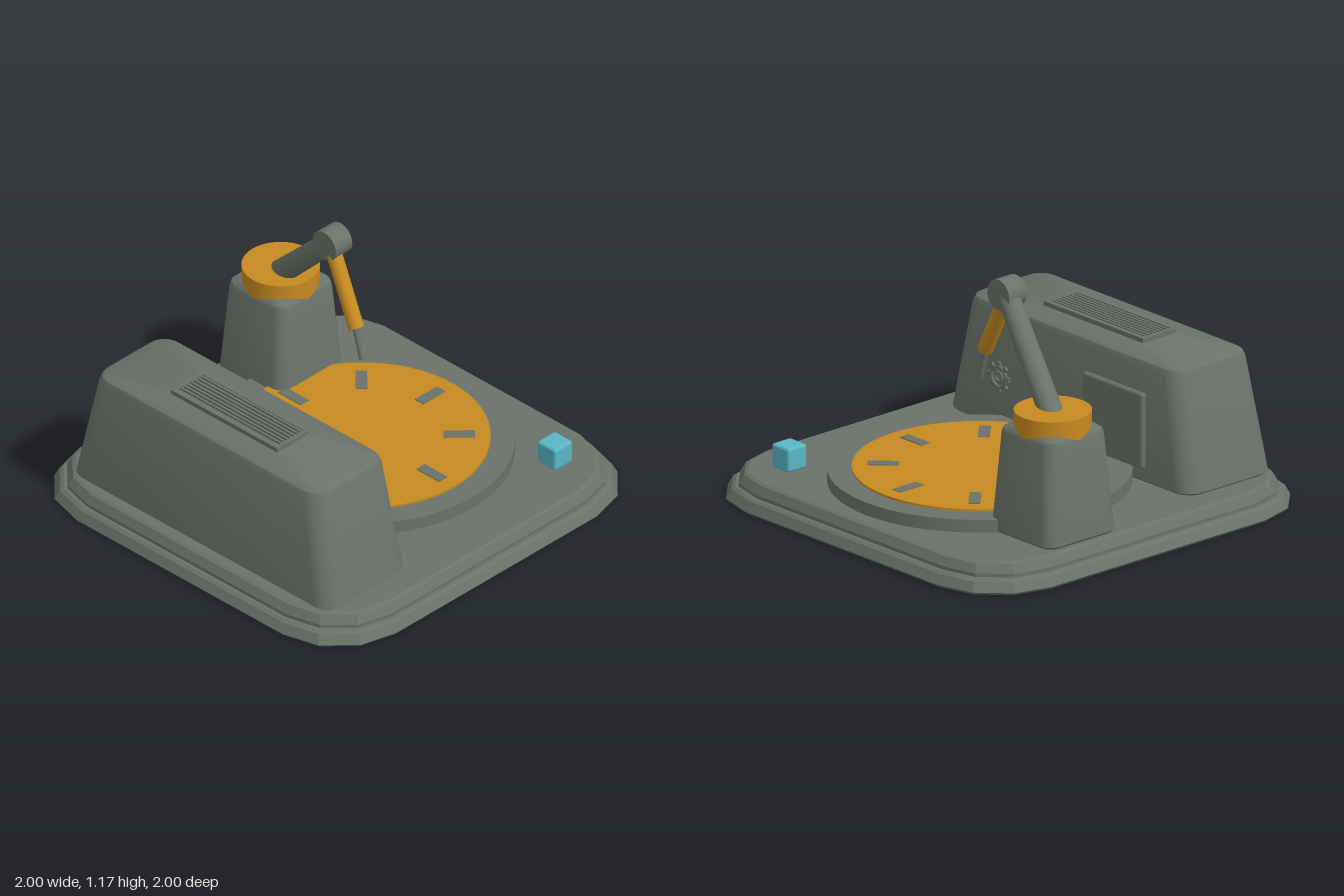
import * as THREE from 'three';
import { toCreasedNormals } from 'three/addons/utils/BufferGeometryUtils.js';
import { RoundedBoxGeometry } from 'three/addons/geometries/RoundedBoxGeometry.js';

const mat = (name, color) => Object.assign(new THREE.MeshStandardMaterial({ color }), { name });

// Stack of rounded rectangles; each section is [y, halfX, halfZ, cornerRadius, zCentre]
function loft(sections, seg, crease) {
  const pos = [], idx = [], n = 4 * (seg + 1);
  for (const [y, hx, hz, r, cz = 0] of sections) {
    for (let c = 0; c < 4; c++) {
      const sx = c === 0 || c === 3 ? 1 : -1, sz = c < 2 ? 1 : -1;
      for (let k = 0; k <= seg; k++) {
        const a = (c + k / seg) * Math.PI / 2;
        pos.push(sx * (hx - r) + r * Math.cos(a), y, cz + sz * (hz - r) + r * Math.sin(a));
      }
    }
  }
  const last = sections.length - 1;
  pos.push(0, sections[0][0], sections[0][4] || 0, 0, sections[last][0], sections[last][4] || 0);
  const bottom = n * sections.length, top = bottom + 1;
  for (let i = 0; i < n; i++) {
    const j = (i + 1) % n;
    for (let s = 0; s < last; s++) {
      const a = s * n + i, b = s * n + j;
      idx.push(a, a + n, b, b, a + n, b + n);
    }
    idx.push(bottom, i, j, top, last * n + j, last * n + i);
  }
  const g = new THREE.BufferGeometry();
  g.setAttribute('position', new THREE.Float32BufferAttribute(pos, 3));
  g.setIndex(idx);
  return toCreasedNormals(g, crease);
}

export function createModel() {
  const model = new THREE.Group();
  model.name = 'turntableStation';
  const grey = mat('darkGrey', 0x6a726a);
  const orange = mat('amber', 0xc68a20);
  const teal = mat('teal', 0x58b6c6);

  const add = (name, geo, material, x = 0, y = 0, z = 0, parent = model) => {
    const m = new THREE.Mesh(geo, material);
    m.name = name;
    m.position.set(x, y, z);
    parent.add(m);
    return m;
  };
  // Cylinder running between two points
  const rod = (name, a, b, ra, rb, material) => {
    const p = new THREE.Vector3(...a), q = new THREE.Vector3(...b);
    const d = q.clone().sub(p);
    const m = add(name, new THREE.CylinderGeometry(rb, ra, d.length(), 24), material);
    m.position.copy(p).addScaledVector(d, 0.5);
    m.quaternion.setFromUnitVectors(new THREE.Vector3(0, 1, 0), d.normalize());
    return m;
  };

  // Two-step base plate with faceted corners
  add('basePlate', loft([[0, 0.99, 0.99, 0.35], [0.012, 1, 1, 0.36], [0.055, 0.98, 0.98, 0.35],
    [0.066, 0.965, 0.965, 0.34]], 3, 0.4), grey);
  add('baseDeck', loft([[0.06, 0.95, 0.95, 0.33], [0.082, 0.95, 0.95, 0.33], [0.122, 0.93, 0.93, 0.32],
    [0.13, 0.915, 0.915, 0.31]], 3, 0.4), grey);

  // Turntable with eight radial marks
  const table = new THREE.Group();
  table.name = 'turntable';
  table.position.set(0, 0, -0.17);
  model.add(table);
  add('platform', new THREE.CylinderGeometry(0.68, 0.68, 0.065, 64), grey, 0, 0.1575, 0, table);
  add('turntableDisc', new THREE.CylinderGeometry(0.57, 0.57, 0.02, 64), orange, 0, 0.19, 0, table);
  for (let i = 0; i < 8; i++) {
    const a = i * Math.PI / 4;
    const mark = add('discMark', new THREE.BoxGeometry(0.14, 0.008, 0.052), grey,
      0.43 * Math.cos(a), 0.2, 0.43 * Math.sin(a), table);
    mark.rotation.y = -a;
  }

  // Tapered front housing
  add('housing', loft([[0.125, 0.79, 0.25, 0.08, 0.615], [0.14, 0.808, 0.265, 0.09, 0.615],
    [0.66, 0.703, 0.232, 0.09, 0.608], [0.685, 0.692, 0.222, 0.085, 0.608],
    [0.7, 0.665, 0.198, 0.07, 0.608]], 6, 0.6), grey);

  // Vent: frame and slats on the housing top
  for (const s of [-1, 1]) {
    add('ventFrameSide', new THREE.BoxGeometry(0.018, 0.025, 0.2), grey, s * 0.322, 0.709, 0.612);
    add('ventFrameEnd', new THREE.BoxGeometry(0.66, 0.025, 0.018), grey, 0, 0.709, 0.612 + s * 0.092);
  }
  for (let i = 0; i < 8; i++) {
    add('ventSlat', new THREE.BoxGeometry(0.63, 0.02, 0.012), grey, 0, 0.708, 0.535 + i * 0.0215);
  }

  // Panel and gear emblem on the back of the housing
  add('backPanel', new RoundedBoxGeometry(0.4, 0.36, 0.03, 3, 0.014), grey, -0.335, 0.38, 0.335);
  const gear = new THREE.Group();
  gear.name = 'gear';
  gear.position.set(0.425, 0.38, 0.33);
  model.add(gear);
  add('gearRing', new THREE.TorusGeometry(0.048, 0.008, 8, 32), grey, 0, 0, 0, gear);
  add('gearHub', new THREE.TorusGeometry(0.022, 0.006, 8, 24), grey, 0, 0, 0, gear);
  for (let i = 0; i < 8; i++) {
    const a = i * Math.PI / 4;
    const tooth = add('gearTooth', new THREE.BoxGeometry(0.022, 0.02, 0.012), grey,
      0.06 * Math.cos(a), 0.06 * Math.sin(a), 0, gear);
    tooth.rotation.z = a;
  }

  // Arm tower with swivel collar
  add('armTower', loft([[0.125, 0.2, 0.2, 0.055], [0.14, 0.21, 0.21, 0.06], [0.595, 0.177, 0.177, 0.055],
    [0.615, 0.17, 0.17, 0.05], [0.63, 0.15, 0.15, 0.04]], 4, 0.6), grey, -0.69, 0, -0.355);
  add('swivelCollar', new THREE.CylinderGeometry(0.175, 0.175, 0.105, 48), orange, -0.69, 0.6475, -0.355);

  // Upper arm, elbow, forearm and stylus
  const elbow = [-0.245, 1.1, -0.228];
  rod('upperArm', [-0.69, 0.66, -0.355], elbow, 0.056, 0.05, grey);
  add('elbow', new THREE.CylinderGeometry(0.073, 0.073, 0.105, 32), grey, ...elbow).rotation.x = Math.PI / 2;
  rod('forearm', [-0.235, 1.085, -0.215], [-0.037, 0.762, -0.168], 0.036, 0.036, orange);
  rod('stylus', [-0.05, 0.79, -0.168], [0, 0.615, -0.167], 0.014, 0.014, grey);

  // Small cube on the deck
  add('cube', new RoundedBoxGeometry(0.115, 0.115, 0.115, 3, 0.014), teal, 0.688, 0.187, -0.69);

  return model;
}
